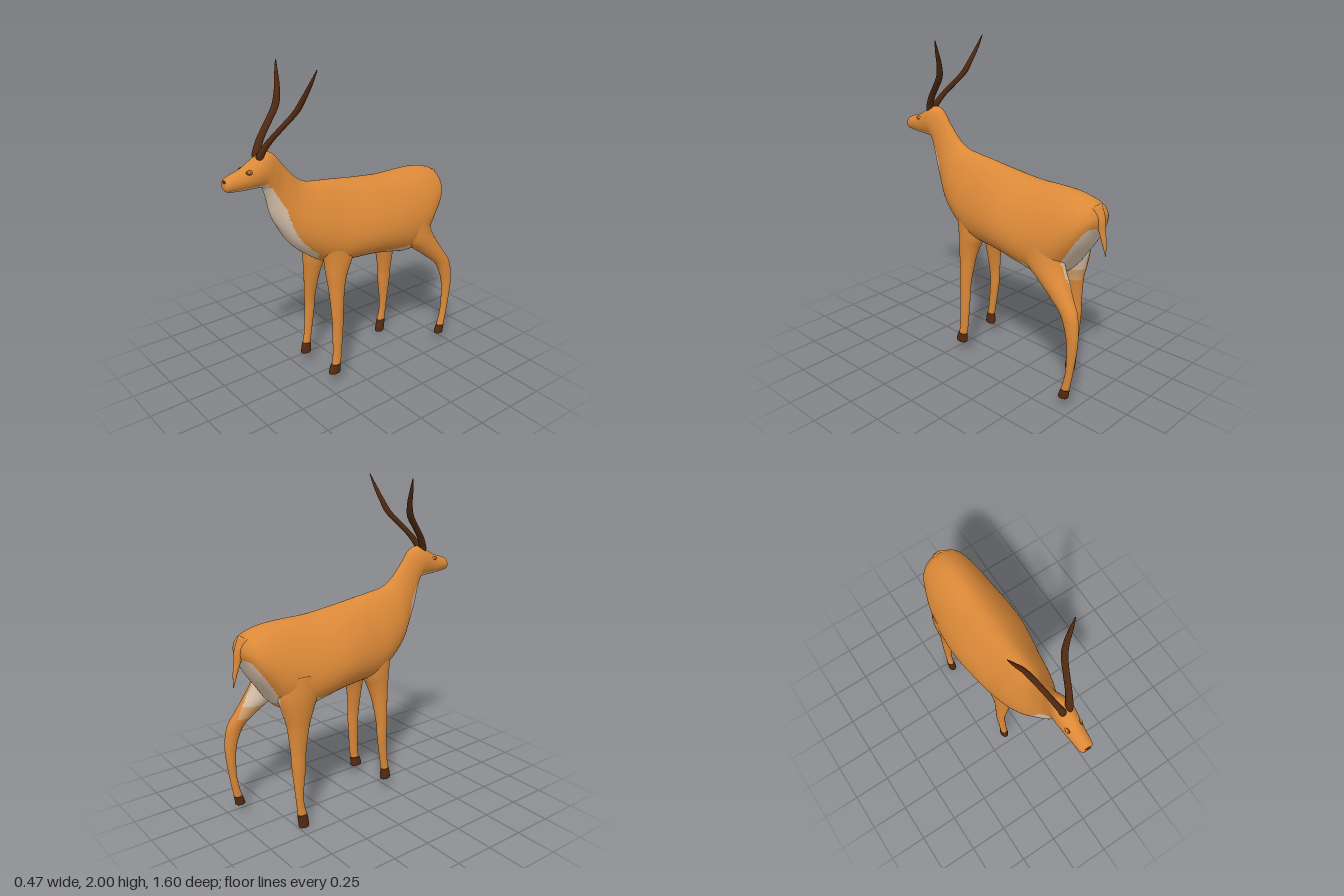
import * as THREE from 'three';

const mat = (name, color) => Object.assign(new THREE.MeshStandardMaterial({ color }), { name });

// Catmull-Rom refinement of a list of numeric sections
function refine(rows, n) {
  const out = [];
  const at = i => rows[Math.max(0, Math.min(rows.length - 1, i))];
  for (let i = 0; i < rows.length - 1; i++) {
    for (let s = 0; s < n; s++) {
      const t = s / n;
      out.push(at(i).map((b, k) => {
        const a = at(i - 1)[k], c = at(i + 1)[k], d = at(i + 2)[k];
        return b + 0.5 * t * (c - a + t * (2 * a - 5 * b + 4 * c - d + t * (3 * (b - c) + d - a)));
      }));
    }
  }
  out.push(rows[rows.length - 1]);
  return out;
}

// Closed smooth skin over rings; pick(centroid) chooses the material of each face
function loft(name, rings, materials, pick = () => 0) {
  const m = rings[0].length, pts = rings.flat();
  const centre = ring => ring.reduce((s, p) => s.add(p), new THREE.Vector3()).divideScalar(m);
  const first = pts.length, last = first + 1;
  pts.push(centre(rings[0]), centre(rings[rings.length - 1]));
  const faces = materials.map(() => []);
  const c = new THREE.Vector3();
  const tri = (...ids) => {
    c.set(0, 0, 0);
    ids.forEach(i => c.addScaledVector(pts[i], 1 / 3));
    faces[pick(c)].push(...ids);
  };
  for (let j = 0; j < m; j++) {
    const k = (j + 1) % m, e = (rings.length - 1) * m;
    tri(first, k, j);
    for (let i = 0; i < rings.length - 1; i++) {
      const a = i * m, b = a + m;
      tri(a + j, a + k, b + j);
      tri(a + k, b + k, b + j);
    }
    tri(last, e + j, e + k);
  }
  const g = new THREE.BufferGeometry().setFromPoints(pts);
  g.setIndex(faces.flat());
  g.computeVertexNormals();
  let start = 0;
  faces.forEach((f, i) => {
    if (f.length) g.addGroup(start, f.length, i);
    start += f.length;
  });
  const mesh = new THREE.Mesh(g, materials);
  mesh.name = name;
  return mesh;
}

const angles = n => Array.from({ length: n }, (_, i) => (i / n) * Math.PI * 2);

// Level elliptical rings, listed downwards: x, y, z, radius x, radius z
const limbRings = (rows, n, segs) => refine(rows, n).map(([x, y, z, rx, rz]) =>
  angles(segs).map(a => new THREE.Vector3(x - rx * Math.sin(a), y, z + rz * Math.cos(a))));

// Trunk rings: top z, top y, bottom z, bottom y, half width, egg factor
const trunkRings = (rows, n, segs) => refine(rows, n).map(([tz, ty, bz, by, w, k]) =>
  angles(segs).map(a => {
    const t = (1 + Math.cos(a)) / 2;
    return new THREE.Vector3(w * Math.sin(a) * (1 - k * Math.cos(a)), by + (ty - by) * t, bz + (tz - bz) * t);
  }));

export function createModel() {
  const coat = mat('coat orange', 0xdb8938);
  const cream = mat('cream', 0xd6c1ab);
  const tan = mat('pale tan', 0xd9a46c);
  const hoofBrown = mat('hoof brown', 0x532b12);
  const hornBrown = mat('horn brown', 0x4f2810);
  const eyeBrown = mat('eye brown', 0x7a4314);
  const skin = [coat, cream, tan];
  const model = new THREE.Group();
  model.name = 'antelope';

  // Head, neck and trunk in one skin, from muzzle to rump
  const trunk = [
    [.800, 1.430, .800, 1.395, .022, 0],
    [.785, 1.455, .785, 1.378, .040, 0],
    [.740, 1.472, .740, 1.370, .047, 0],
    [.680, 1.492, .670, 1.365, .054, 0],
    [.620, 1.527, .600, 1.362, .062, 0],
    [.570, 1.553, .560, 1.352, .065, 0],
    [.525, 1.555, .545, 1.320, .063, 0],
    [.480, 1.530, .530, 1.260, .060, .05],
    [.420, 1.455, .510, 1.170, .064, .1],
    [.340, 1.370, .460, 1.075, .088, .2],
    [.270, 1.330, .380, .960, .125, .28],
    [.180, 1.315, .270, .865, .158, .3],
    [.080, 1.302, .140, .790, .182, .3],
    [-.02, 1.287, .020, .785, .203, .3],
    [-.15, 1.270, -.15, .775, .224, .3],
    [-.30, 1.256, -.30, .745, .226, .3],
    [-.45, 1.256, -.43, .715, .215, .25],
    [-.57, 1.252, -.54, .750, .198, .2],
    [-.66, 1.235, -.62, .850, .172, .15],
    [-.72, 1.210, -.69, .950, .140, .1],
    [-.755, 1.16, -.74, 1.05, .080, 0],
    [-.765, 1.12, -.76, 1.09, .020, 0],
  ];
  // Cream chin, throat, belly and rump, with tan where they fade out
  const trunkColour = ({ x, y, z }) => {
    const w = Math.abs(x);
    if (z > .55) return y < 1.386 && z < .785 ? 1 : 0;
    if (z > .22) {
      const front = z > .24 + (y - .86) * .58;
      return front && y < 1.36 && w < .06 + (1.33 - y) * .125 ? 1 : 0;
    }
    if (z > .08) return y < .87 && w < .11 ? 2 : 0;
    if (z > -.4) return y < .815 && w < .05 + (.08 - z) ? 1 : 0;
    if (z > -.57) return y < .78 ? 2 : 0;
    return y < 1.08 && z < -.6 - (y - .87) * .65 ? 1 : 0;
  };
  model.add(loft('body', trunkRings(trunk, 8, 80), skin, trunkColour));

  // Legs: rows run from inside the trunk to the pastern, then the hoof
  const legs = {
    frontLeftLeg: {
      leg: [[.105, .98, .13, .07, .11], [.11, .85, .12, .068, .1], [.117, .75, .138, .058, .073],
        [.128, .65, .147, .045, .053], [.143, .5, .153, .032, .041], [.147, .4, .153, .027, .037],
        [.152, .2, .163, .023, .03], [.153, .14, .172, .024, .031]],
      hoof: [[.153, .145, .172, .025, .032], [.153, .115, .18, .027, .038], [.153, .085, .183, .027, .041],
        [.153, .08, .183, .022, .034]],
    },
    frontRightLeg: {
      leg: [[-.1, .98, .135, .07, .11], [-.105, .85, .128, .068, .1], [-.11, .75, .145, .056, .073],
        [-.12, .65, .155, .044, .053], [-.135, .5, .162, .03, .038], [-.137, .4, .164, .026, .033],
        [-.135, .24, .182, .022, .026], [-.134, .165, .195, .022, .027]],
      hoof: [[-.134, .17, .195, .023, .028], [-.134, .135, .198, .025, .034], [-.134, .1, .2, .025, .035],
        [-.134, .094, .2, .02, .028]],
    },
    hindLeftLeg: {
      leg: [[.12, .97, -.45, .095, .13], [.135, .85, -.475, .09, .135], [.152, .75, -.565, .072, .1],
        [.168, .68, -.632, .054, .077], [.182, .6, -.7, .04, .056], [.19, .5, -.731, .033, .041],
        [.192, .4, -.738, .028, .032], [.193, .25, -.727, .022, .023], [.193, .125, -.702, .023, .026]],
      hoof: [[.193, .13, -.703, .024, .027], [.193, .1, -.695, .026, .03], [.193, .075, -.69, .026, .032],
        [.193, .07, -.69, .021, .026]],
    },
    hindRightLeg: {
      leg: [[-.12, .97, -.45, .1, .13], [-.13, .85, -.46, .093, .13], [-.14, .75, -.47, .075, .1],
        [-.147, .65, -.475, .056, .07], [-.155, .5, -.483, .038, .05], [-.16, .4, -.486, .033, .045],
        [-.165, .2, -.488, .022, .025], [-.167, .085, -.473, .022, .03]],
      hoof: [[-.167, .09, -.474, .023, .031], [-.165, .05, -.467, .025, .034], [-.165, .006, -.462, .025, .034],
        [-.165, 0, -.462, .02, .028]],
    },
  };
  for (const [name, { leg, hoof }] of Object.entries(legs)) {
    // Pale inner thighs on the hind legs
    const colour = ({ x, y }) =>
      !name.startsWith('hind') || Math.abs(x) > .14 || y < .65 || y > .88 ? 0 : y > .73 ? 1 : 2;
    const group = new THREE.Group();
    group.name = name;
    group.add(loft('shank', limbRings(leg, 8, 32), skin, colour));
    group.add(loft('hoof', limbRings(hoof, 4, 24), [hoofBrown]));
    model.add(group);
  }

  // Tail
  model.add(loft('tail', limbRings([[0, 1.2, -.715, .05, .03], [0, 1.13, -.75, .032, .03],
    [0, 1.06, -.768, .021, .019], [0, 1, -.784, .014, .013], [0, .92, -.799, .002, .002]], 5, 20), [coat]));

  // Flattened ball for facial details
  const ball = (name, material, pos, scale) => {
    const mesh = new THREE.Mesh(new THREE.SphereGeometry(1, 20, 12), material);
    mesh.name = name;
    mesh.position.set(...pos);
    mesh.scale.set(...scale);
    return mesh;
  };

  for (const side of [1, -1]) {
    // Swept-back horn, tip to base
    const horn = [[.195, 2, .32, .002, .003], [.162, 1.92, .34, .01, .013], [.13, 1.85, .36, .014, .018],
      [.1, 1.77, .395, .016, .024], [.07, 1.69, .468, .016, .025], [.045, 1.62, .533, .017, .025],
      [.024, 1.555, .575, .02, .025], [.02, 1.525, .58, .02, .022]]
      .map(([x, ...rest]) => [side * x, ...rest]);
    model.add(loft(side > 0 ? 'leftHorn' : 'rightHorn', limbRings(horn, 6, 16), [hornBrown]));

    // Eye with a dark rim
    const eye = new THREE.Group();
    eye.name = side > 0 ? 'leftEye' : 'rightEye';
    eye.position.set(side * .043, 1.473, .66);
    eye.rotation.z = side * .6;
    eye.add(ball('rim', eyeBrown, [0, 0, 0], [.008, .014, .023]));
    eye.add(ball('eyeball', coat, [side * .003, 0, 0], [.0075, .009, .015]));
    eye.add(ball('pupil', hornBrown, [side * .007, 0, 0], [.004, .005, .007]));
    model.add(eye);
  }

  // Nose
  model.add(ball('nose', hornBrown, [0, 1.436, .794], [.018, .008, .008]));
  return model;
}
